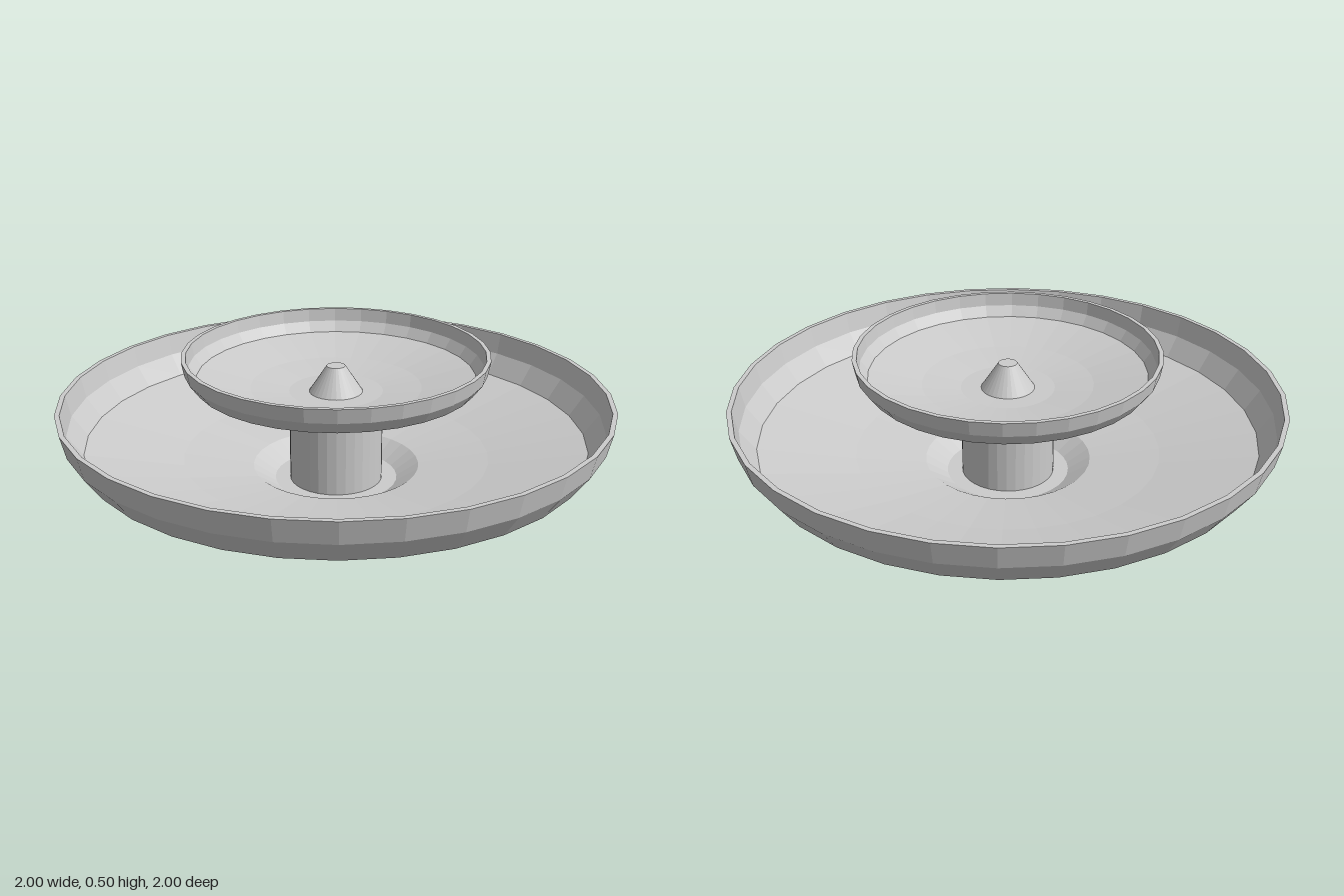
import * as THREE from 'three';

const SEGMENTS = 32;

export function createModel() {
  const group = new THREE.Group();
  const material = new THREE.MeshStandardMaterial({ color: 0xcccccc, flatShading: true });

  // Turned part from [radius, height] pairs, outside upwards then inside downwards
  function turned(name, profile) {
    const points = profile.map(([r, y]) => new THREE.Vector2(r, y));
    const mesh = new THREE.Mesh(new THREE.LatheGeometry(points, SEGMENTS), material);
    mesh.name = name;
    group.add(mesh);
  }

  // Wide lower basin with a sunken foot
  turned('lowerBasin', [
    [0.158, 0], [0.23, 0], [0.31, 0.052], [0.56, 0.093], [0.92, 0.165], [0.98, 0.25], [1, 0.335],
    [0.982, 0.335], [0.965, 0.255], [0.91, 0.178], [0.56, 0.106], [0.305, 0.066], [0.225, 0.014], [0.165, 0.014],
  ]);

  // Hollow column, open at the foot
  turned('column', [[0.17, 0.01], [0.17, 0.34], [0.158, 0.34], [0.158, 0]]);

  // Small upper bowl
  turned('upperBowl', [
    [0, 0.333], [0.17, 0.335], [0.31, 0.357], [0.51, 0.4], [0.543, 0.445], [0.553, 0.498],
    [0.537, 0.498], [0.53, 0.45], [0.503, 0.412], [0.31, 0.371], [0.17, 0.353], [0, 0.35],
  ]);

  // Cone-shaped spout
  turned('spout', [[0.098, 0.35], [0.034, 0.448], [0, 0.448]]);

  return group;
}
